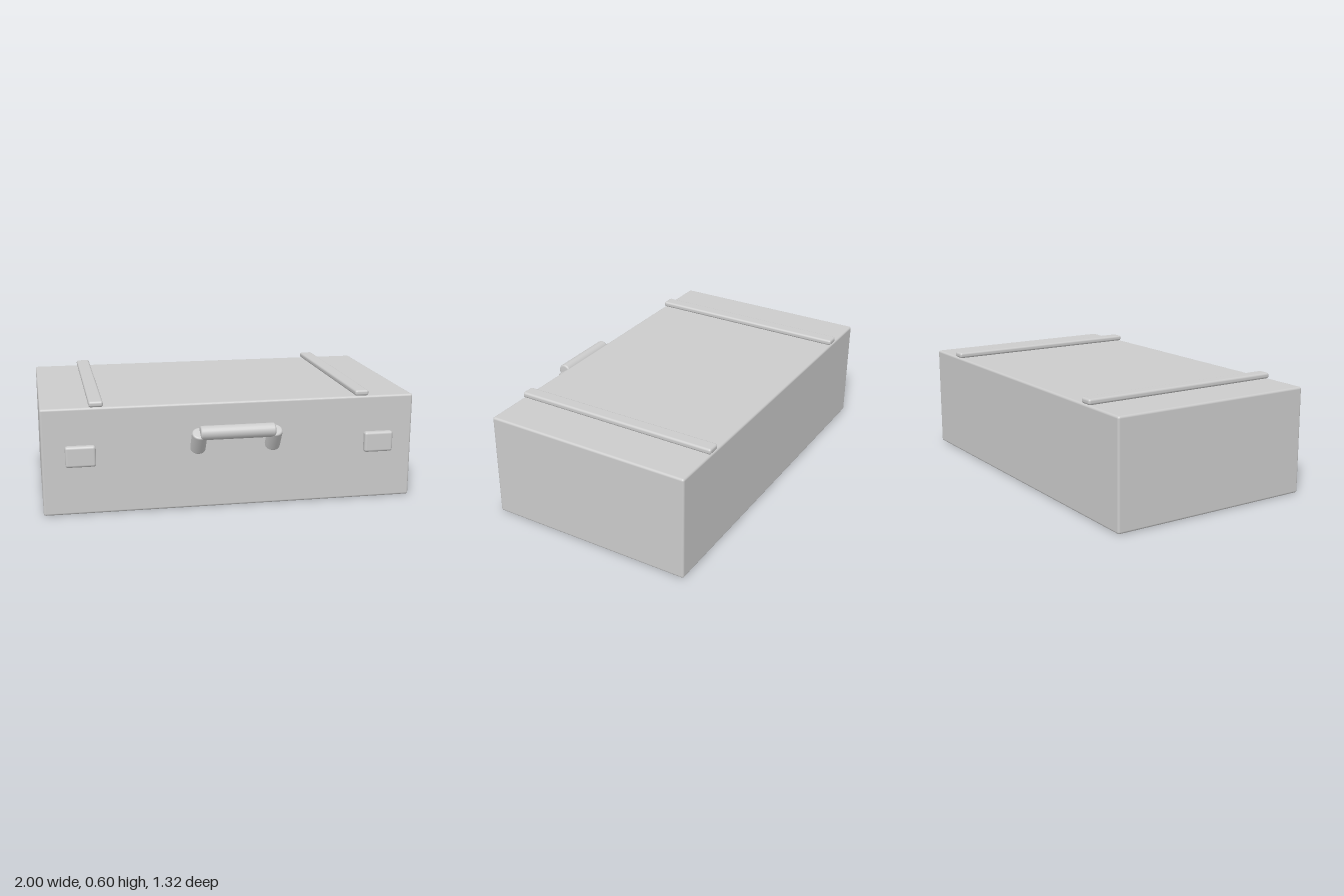
import * as THREE from 'three';
import { RoundedBoxGeometry } from 'three/addons/geometries/RoundedBoxGeometry.js';

const material = new THREE.MeshStandardMaterial({ color: 0xcccccc });

// Box with softened edges, given by its min and max corners
function softBox(name, min, max, bevel) {
  const size = max.map((v, i) => v - min[i]);
  const mesh = new THREE.Mesh(new RoundedBoxGeometry(...size, 3, bevel), material);
  mesh.name = name;
  mesh.position.set(...max.map((v, i) => (v + min[i]) / 2));
  return mesh;
}

// Solid rod between two points with bevelled ends
function rod(name, from, to, radius, bevel) {
  const a = new THREE.Vector3(...from), b = new THREE.Vector3(...to);
  const h = a.distanceTo(b) / 2;
  const profile = [new THREE.Vector2(0, -h)];
  for (const side of [-1, 1]) {
    for (let i = 0; i <= 3; i++) {
      const t = (side < 0 ? i : 3 - i) / 3 * Math.PI / 2;
      profile.push(new THREE.Vector2(
        radius - bevel + bevel * Math.sin(t),
        side * (h - bevel + bevel * Math.cos(t))));
    }
  }
  profile.push(new THREE.Vector2(0, h));
  const mesh = new THREE.Mesh(new THREE.LatheGeometry(profile, 24), material);
  mesh.name = name;
  mesh.position.copy(a).add(b).multiplyScalar(0.5);
  mesh.quaternion.setFromUnitVectors(new THREE.Vector3(0, 1, 0), b.sub(a).normalize());
  return mesh;
}

export function createModel() {
  const model = new THREE.Group();
  model.name = 'suitcase';

  // Main case
  model.add(softBox('caseBody', [-1, 0, -0.66], [1, 0.572, 0.476], 0.012));

  // Straps on the lid and latches floating just off the front
  for (const [label, s] of [['left', 1], ['right', -1]]) {
    const strap = softBox(label + 'Strap', [0.675, 0.572, -0.66], [0.75, 0.603, 0.476], 0.012);
    const latch = softBox(label + 'Latch', [0.722, 0.268, 0.483], [0.88, 0.38, 0.523], 0.014);
    strap.position.x *= s;
    latch.position.x *= s;
    model.add(strap, latch);
  }

  // Carrying handle, tilted up and forwards
  const handle = new THREE.Group();
  handle.name = 'handle';
  handle.add(rod('handleGrip', [-0.197, 0.45, 0.624], [0.197, 0.45, 0.624], 0.037, 0.01));
  for (const [label, s] of [['left', 1], ['right', -1]]) {
    handle.add(rod(label + 'HandleLeg', [s * 0.198, 0.347, 0.556], [s * 0.198, 0.451, 0.623], 0.04, 0.01));
  }
  model.add(handle);

  return model;
}
